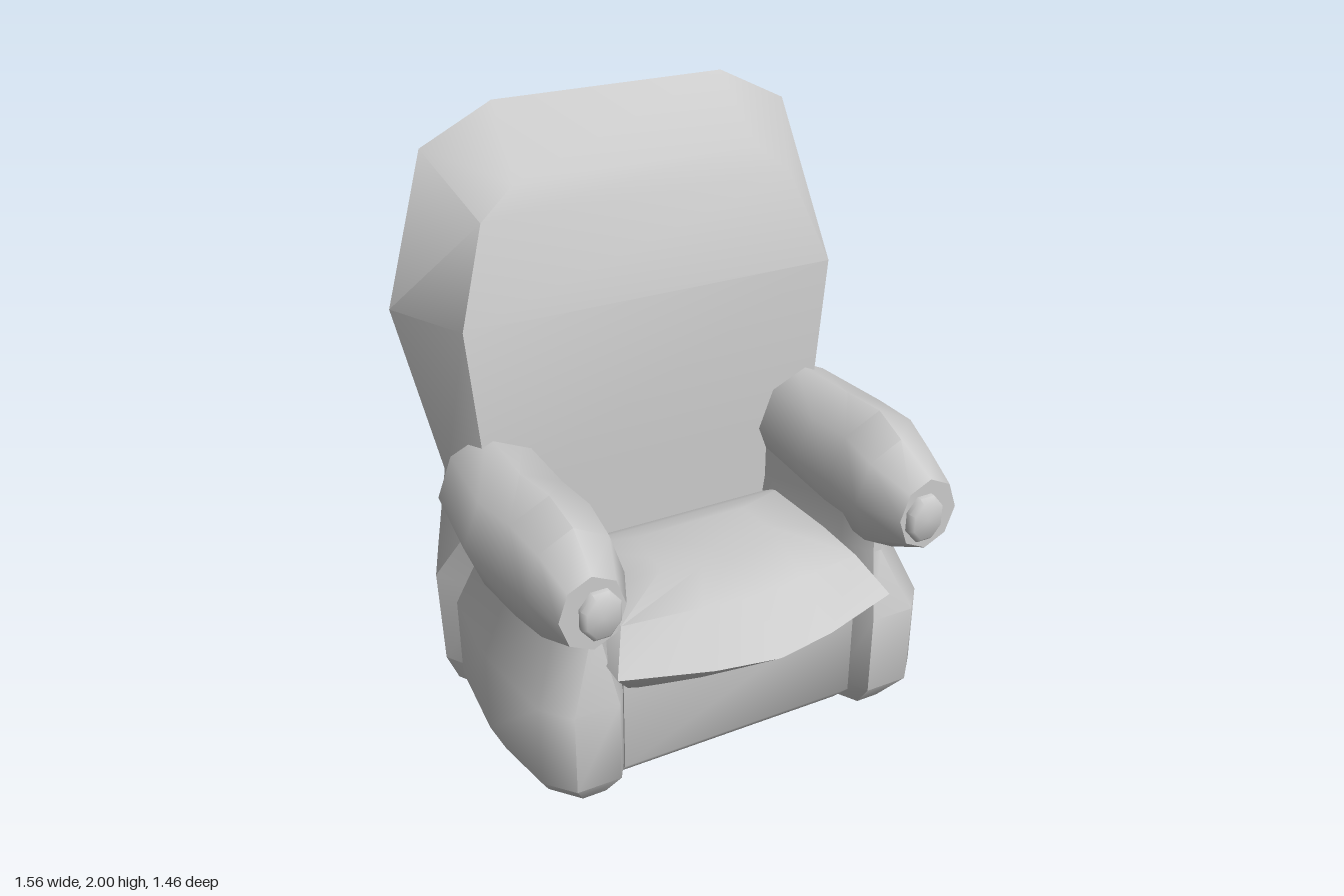
import * as THREE from 'three';
import { toCreasedNormals } from 'three/addons/utils/BufferGeometryUtils.js';

const material = new THREE.MeshStandardMaterial({ color: 0xcccccc });

// Skin a stack of rings (each counter-clockwise about the stacking direction) and cap both ends.
function loft(name, rings, crease = 0.9) {
  const pos = [];
  const same = (p, q) => p.every((v, i) => Math.abs(v - q[i]) < 1e-6);
  const tri = (a, b, c) => {
    if (!same(a, b) && !same(b, c) && !same(c, a)) pos.push(...a, ...b, ...c);
  };
  const n = rings[0].length;
  const centre = (r) => [0, 1, 2].map((k) => r.reduce((s, p) => s + p[k], 0) / n);
  const first = rings[0], last = rings[rings.length - 1];
  for (let j = 0; j < n; j++) {
    const k = (j + 1) % n;
    for (let i = 0; i < rings.length - 1; i++) {
      const a = rings[i], b = rings[i + 1];
      tri(a[j], a[k], b[k]);
      tri(a[j], b[k], b[j]);
    }
    tri(centre(first), first[k], first[j]);
    tri(centre(last), last[j], last[k]);
  }
  const geo = new THREE.BufferGeometry();
  geo.setAttribute('position', new THREE.Float32BufferAttribute(pos, 3));
  const mesh = new THREE.Mesh(toCreasedNormals(geo, crease), material);
  mesh.name = name;
  return mesh;
}

// Complete a +x half ring (front to back) with its mirror image.
const symmetric = (half) => [...half, ...half.map(([x, y, z]) => [-x, y, z]).reverse()];
// Mirror rings to the other side, keeping their winding.
const mirrored = (rings) => rings.map((r) => r.map(([x, y, z]) => [-x, y, z]).reverse());

function backrest() {
  // each row: front edge, side, rear corner, rear edge
  const rows = [
    [[0.58, 0, -0.1], [0.7, 0, -0.28], [0.64, 0, -0.46], [0.45, 0, -0.54]],
    [[0.62, 0.1, -0.1], [0.74, 0.1, -0.28], [0.68, 0.1, -0.46], [0.48, 0.1, -0.54]],
    [[0.62, 0.45, -0.1], [0.75, 0.45, -0.28], [0.68, 0.45, -0.46], [0.48, 0.45, -0.54]],
    [[0.6, 0.8, -0.1], [0.67, 0.8, -0.32], [0.62, 0.8, -0.47], [0.45, 0.8, -0.54]],
    [[0.65, 1.4, -0.1], [0.78, 1.38, -0.42], [0.66, 1.4, -0.63], [0.45, 1.4, -0.73]],
    [[0.54, 1.7, -0.19], [0.64, 1.88, -0.42], [0.57, 1.72, -0.65], [0.43, 1.8, -0.73]],
    // front panel narrows into the crown, then all closes on a ridge
    [[0.42, 1.8, -0.21], [0.64, 1.88, -0.42], [0.57, 1.72, -0.65], [0.43, 1.8, -0.73]],
    Array.from({ length: 4 }, () => [0.4, 2, -0.42]),
  ];
  return loft('backrest', rows.map(symmetric));
}

function seatBase() {
  const ring = (y, zf) => symmetric([[0.42, y, zf], [0.42, y, -0.3]]);
  return loft('seatBase', [ring(0, 0.42), ring(0.09, 0.5), ring(0.45, 0.5)]);
}

function seatCushion() {
  // edge y, crown y, half width, front z at centre, sweep back at the corner, back z
  const levels = [
    [0.375, 0.375, 0.39, 0.55, 0.07, -0.05],
    [0.525, 0.525, 0.485, 0.725, 0.125, -0.15],
    [0.63, 0.66, 0.42, 0.58, 0.09, 0.02],
    [0.68, 0.68, 0.21, 0.4, 0.06, 0.14],
  ];
  return loft('seatCushion', levels.map(([y, yc, w, zf, sweep, zb]) => symmetric([
    [w * 0.02, yc, zf], [w * 0.42, yc, zf - sweep * 0.28], [w, y, zf - sweep],
    [w, y, (zf + zb) / 2], [w * 0.95, y, zb],
  ])));
}

// Upright side panel beneath an arm roll: y, inner x, outer x, front z, back z
const panelRings = [
  [0, 0.42, 0.69, 0.48, -0.15],
  [0.11, 0.4, 0.74, 0.56, -0.16],
  [0.4, 0.4, 0.74, 0.56, -0.165],
  [0.62, 0.43, 0.65, 0.49, -0.12],
  [0.78, 0.43, 0.68, 0.49, -0.12],
].map(([y, xi, xo, zf, zb]) => [
  [xi, y, zf - 0.1], [xi + 0.06, y, zf], [xo - 0.13, y, zf], [xo - 0.05, y, zf - 0.09],
  [xo, y, 0.15], [xo - 0.02, y, zb], [xi, y, zb],
]);

// Padded arm roll, eight-sided: z, inner x, outer x, bottom y, top y
const rollRings = [
  [-0.17, 0.4, 0.75, 0.62, 1.01],
  [0.15, 0.395, 0.78, 0.61, 1.025],
  [0.35, 0.395, 0.755, 0.61, 1.055],
  [0.49, 0.405, 0.72, 0.62, 1.02],
  [0.64, 0.47, 0.68, 0.7, 0.95],
].map(([z, xi, xo, yb, yt]) => Array.from({ length: 8 }, (_, i) => {
  const a = (i * Math.PI) / 4;
  return [(xi + xo) / 2 + Math.cos(a) * (xo - xi) / 2, (yb + yt) / 2 + Math.sin(a) * (yt - yb) / 2, z];
}));

// Small button on the front of the roll: z, size
const buttonRings = [[0.62, 1], [0.655, 1], [0.67, 0.8]].map(([z, s]) =>
  Array.from({ length: 8 }, (_, i) => {
    const a = ((i + 0.5) * Math.PI) / 4;
    return [0.555 + Math.cos(a) * 0.068 * s, 0.82 + Math.sin(a) * 0.085 * s, z];
  }));

function arm(name, side) {
  const group = new THREE.Group();
  group.name = name;
  const place = (rings) => (side > 0 ? rings : mirrored(rings));
  group.add(loft('armPanel', place(panelRings)), loft('armRoll', place(rollRings)),
    loft('armButton', place(buttonRings)));
  return group;
}

export function createModel() {
  const chair = new THREE.Group();
  chair.name = 'armchair';
  chair.add(backrest(), seatBase(), seatCushion(), arm('leftArm', 1), arm('rightArm', -1));
  return chair;
}
